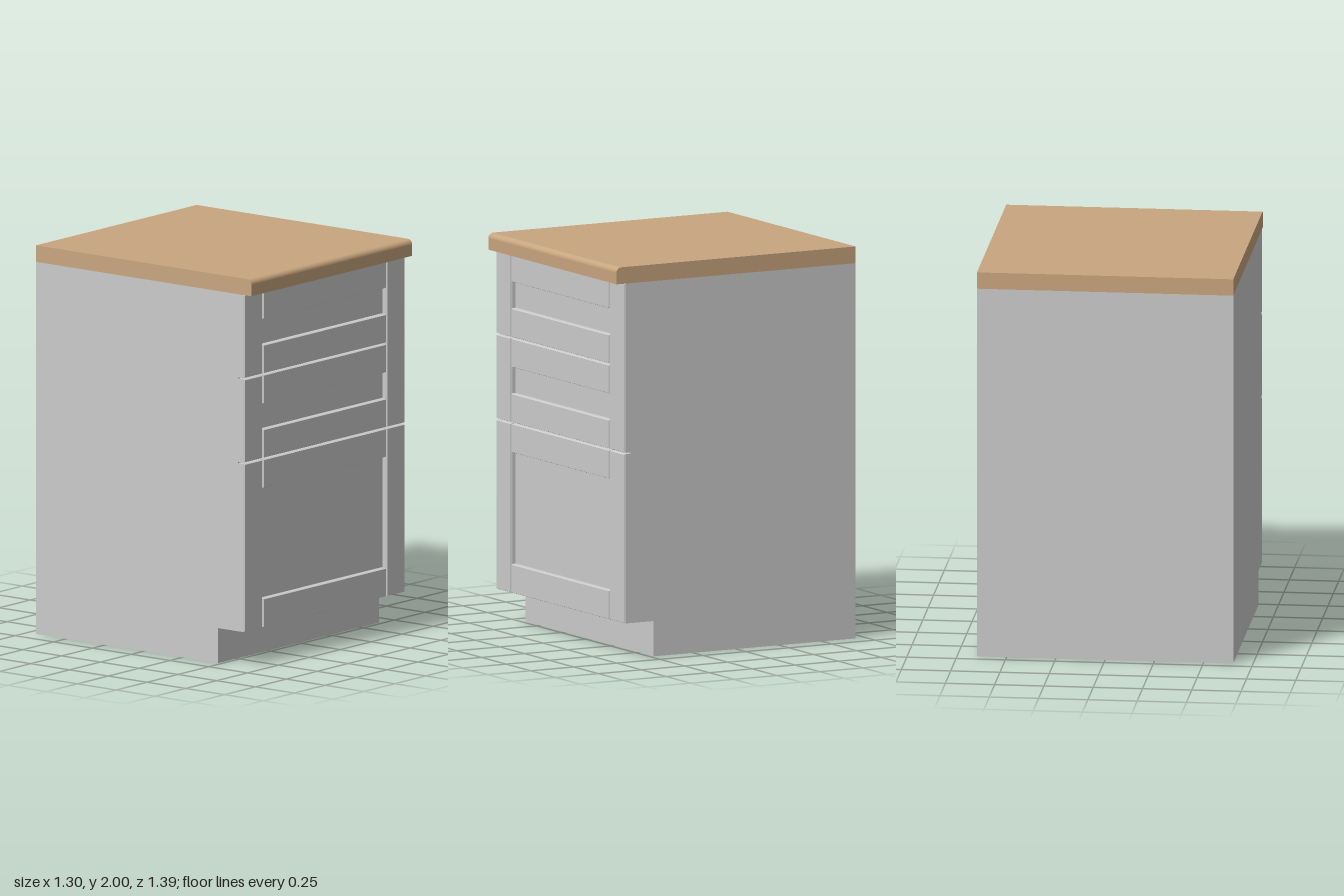
import * as THREE from 'three';

const grey = new THREE.MeshStandardMaterial({ color: 0xcccccc, side: THREE.DoubleSide });
const wood = new THREE.MeshStandardMaterial({ color: 0xc9a67f });

const HALF_W = 0.65, BACK = -0.695, BASE = 0.18, TOP = 1.915;
const FACE = 0.65, CARCASS_FRONT = 0.61, PANEL_FACE = 0.62, KICK = 0.48;

export function createModel() {
  const model = new THREE.Group();

  function add(parent, name, geometry, material = grey) {
    const mesh = new THREE.Mesh(geometry, material);
    mesh.name = name;
    parent.add(mesh);
    return mesh;
  }

  // Box given by its limits on each axis
  function box(parent, name, x0, x1, y0, y1, z0, z1) {
    const geometry = new THREE.BoxGeometry(x1 - x0, y1 - y0, z1 - z0);
    geometry.translate((x0 + x1) / 2, (y0 + y1) / 2, (z0 + z1) / 2);
    return add(parent, name, geometry);
  }

  // Front board with slightly eased edges; its back sinks into the carcass
  function board(parent, name, x0, x1, y0, y1) {
    const b = 0.004, t = 0.01;
    const shape = new THREE.Shape([
      new THREE.Vector2(x0 + b, y0 + b), new THREE.Vector2(x1 - b, y0 + b),
      new THREE.Vector2(x1 - b, y1 - b), new THREE.Vector2(x0 + b, y1 - b),
    ]);
    const geometry = new THREE.ExtrudeGeometry(shape, {
      depth: FACE - CARCASS_FRONT - t, bevelEnabled: true,
      bevelSize: b, bevelThickness: t, bevelSegments: 1,
    });
    geometry.translate(0, 0, CARCASS_FRONT);
    return add(parent, name, geometry);
  }

  // Carcass
  box(model, 'carcass', -HALF_W, HALF_W, BASE, TOP, BACK, CARCASS_FRONT);

  // Hollow plinth of four thin walls, set back at the front
  const plinth = new THREE.Group();
  plinth.name = 'plinth';
  model.add(plinth);
  const midZ = (BACK + KICK) / 2, depth = KICK - BACK;
  const walls = [
    ['toeKick', 2 * HALF_W, 0, KICK, 0],
    ['plinthBack', 2 * HALF_W, 0, BACK, Math.PI],
    ['plinthLeft', depth, HALF_W, midZ, Math.PI / 2],
    ['plinthRight', depth, -HALF_W, midZ, -Math.PI / 2],
  ];
  for (const [name, width, x, z, turn] of walls) {
    const wall = add(plinth, name, new THREE.PlaneGeometry(width, BASE));
    wall.position.set(x, BASE / 2, z);
    wall.rotation.y = turn;
  }

  // Three drawer fronts: two rails around a recessed panel, and a right stile
  const gap = 0.003, rail = 0.148, inner = 0.5;
  const drawers = [
    ['topDrawer', 1.483, TOP],
    ['middleDrawer', 1.048, 1.483],
    ['bottomDrawer', BASE, 1.048],
  ];
  for (const [name, bottom, top] of drawers) {
    const drawer = new THREE.Group();
    drawer.name = name;
    model.add(drawer);
    const y0 = bottom === BASE ? bottom : bottom + gap;
    const y1 = top === TOP ? top : top - gap;
    board(drawer, 'upperRail', -inner + gap, inner - gap, y1 - rail, y1);
    board(drawer, 'lowerRail', -inner + gap, inner - gap, y0, y0 + rail);
    box(drawer, 'panel', -inner - gap, inner + gap, y0 + rail - 0.005, y1 - rail + 0.005,
      CARCASS_FRONT - 0.01, PANEL_FACE);
    board(drawer, 'rightStile', -HALF_W, -inner - gap, y0, y1);
  }

  // Left stiles: one long piece beside the two upper drawers, one below
  board(model, 'upperLeftStile', inner + gap, HALF_W, 1.048 + gap, TOP);
  board(model, 'lowerLeftStile', inner + gap, HALF_W, BASE, 1.048 - gap);

  // Worktop: side profile with a rounded front edge, extruded across the width
  const r = 0.027, front = 0.695;
  const profile = new THREE.Shape();
  profile.moveTo(BACK, TOP);
  profile.lineTo(front, TOP);
  profile.lineTo(front, 2 - r);
  profile.absarc(front - r, 2 - r, r, 0, Math.PI / 2, false);
  profile.lineTo(BACK, 2);
  profile.closePath();
  const top = new THREE.ExtrudeGeometry(profile, {
    depth: 2 * HALF_W, bevelEnabled: false, curveSegments: 6,
  });
  top.rotateY(-Math.PI / 2);
  top.translate(HALF_W, 0, 0);
  add(model, 'worktop', top, wood);

  return model;
}
